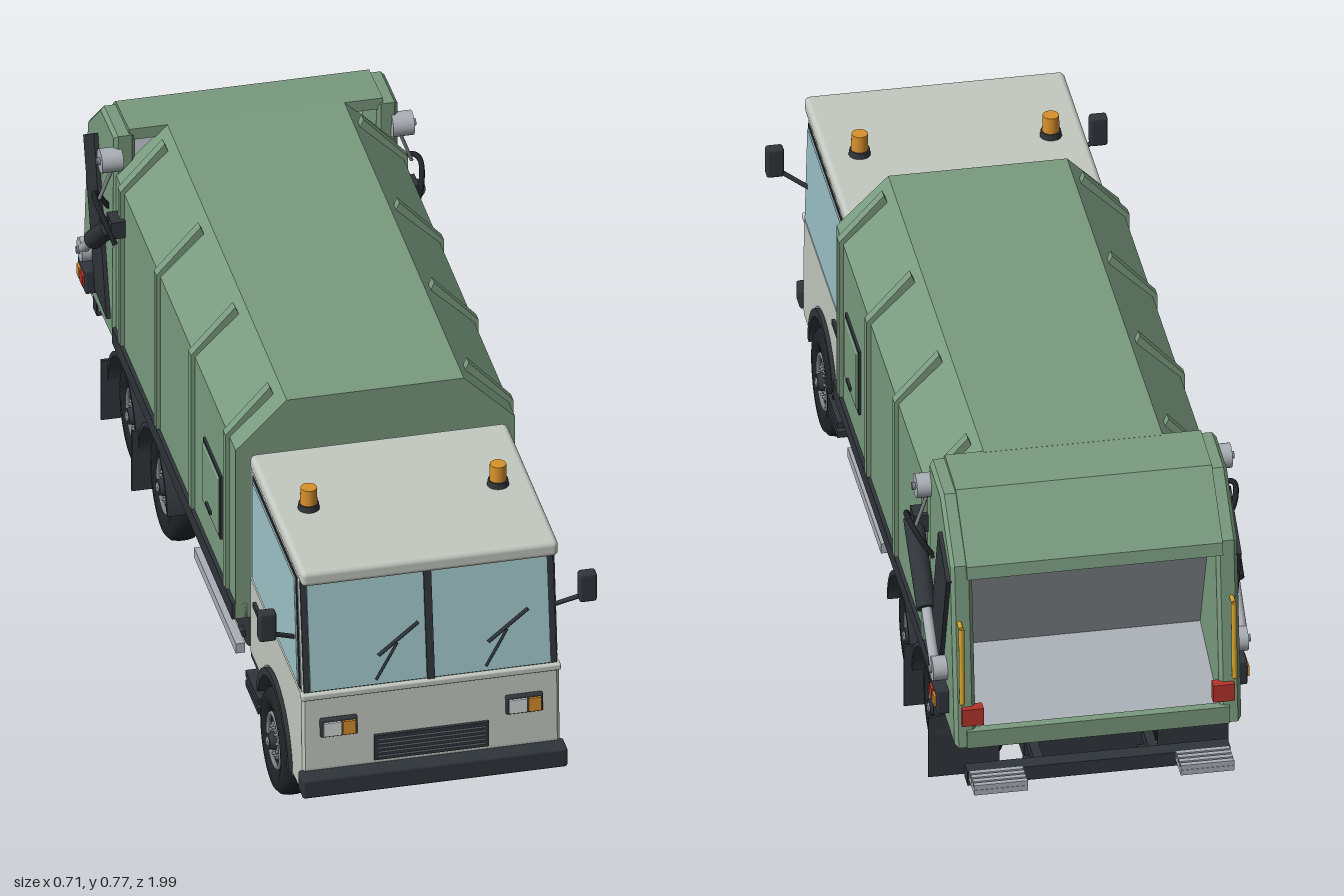
import * as THREE from 'three';
import { RoundedBoxGeometry } from 'three/addons/geometries/RoundedBoxGeometry.js';

const mat = (color, side = THREE.FrontSide) => new THREE.MeshStandardMaterial({ color, side });
const M = {
  green: mat(0x7a9b7f), cab: mat(0xc3c8c0), dark: mat(0x30353a), black: mat(0x202325),
  glass: mat(0x9dc3c8), steel: mat(0xaab0b6), rim: mat(0x7d8388), amber: mat(0xd8912c),
  red: mat(0xb5342a), yellow: mat(0xd6a42c), lamp: mat(0xd4dad8),
};
const V = (x, y, z) => new THREE.Vector3(x, y, z);

function add(parent, name, geo, material, pos = [0, 0, 0], rot = [0, 0, 0]) {
  const m = new THREE.Mesh(geo, material);
  m.name = name;
  m.position.set(...pos);
  m.rotation.set(...rot);
  parent.add(m);
  return m;
}
// box given by its limits in x, y, z
function box(parent, name, material, x, y, z, radius = 0) {
  const s = [x, y, z].map(([a, b]) => Math.abs(b - a));
  const geo = radius ? new RoundedBoxGeometry(...s, 2, radius) : new THREE.BoxGeometry(...s);
  return add(parent, name, geo, material, [x, y, z].map(([a, b]) => (a + b) / 2));
}
// box limits mirrored in x
const side = (s, a, b) => [s * a, s * b];
// round bar between two points
function bar(parent, name, material, a, b, r, seg = 12) {
  const d = b.clone().sub(a);
  const m = add(parent, name, new THREE.CylinderGeometry(r, r, d.length(), seg), material);
  m.position.copy(a).add(b).multiplyScalar(0.5);
  m.quaternion.setFromUnitVectors(V(0, 1, 0), d.normalize());
  return m;
}
const poly = pts => new THREE.Shape(pts.map(p => new THREE.Vector2(...p)));
// (z, y) outline extruded between two x limits
function extrudeX(shape, xa, xb, bevel = 0) {
  const x0 = Math.min(xa, xb), x1 = Math.max(xa, xb);
  const geo = new THREE.ExtrudeGeometry(shape, {
    depth: x1 - x0 - 2 * bevel, bevelEnabled: bevel > 0, bevelSize: bevel,
    bevelThickness: bevel, bevelOffset: -bevel, bevelSegments: 1, curveSegments: 24,
  });
  return geo.rotateY(-Math.PI / 2).translate(x1 - bevel, 0, 0);
}
function arch(cz, cy, r0, r1, a0, a1) {
  const s = new THREE.Shape();
  s.absarc(cz, cy, r1, a0, a1, false);
  s.absarc(cz, cy, r0, a1, a0, true);
  return s;
}

function buildWheel(s, x, z, outer) {
  const g = new THREE.Group();
  g.name = 'wheel';
  g.position.set(s * x, 0.115, z);
  g.rotation.z = -s * Math.PI / 2; // local +y points outwards
  const prof = [[0.062, -0.024], [0.085, -0.032], [0.102, -0.031], [0.112, -0.022], [0.115, -0.008],
    [0.115, 0.008], [0.112, 0.022], [0.102, 0.031], [0.085, 0.032], [0.062, 0.024], [0.058, 0]];
  add(g, 'tyre', new THREE.LatheGeometry(prof.map(p => new THREE.Vector2(...p)), 40), M.black);
  add(g, 'rimDisc', new THREE.CylinderGeometry(0.062, 0.062, 0.03, 32), M.dark);
  if (!outer) return g;
  add(g, 'rimRing', new THREE.TorusGeometry(0.057, 0.005, 8, 32), M.rim, [0, 0.024, 0], [Math.PI / 2, 0, 0]);
  add(g, 'rimPlate', new THREE.CylinderGeometry(0.04, 0.048, 0.012, 24), M.rim, [0, 0.018, 0]);
  add(g, 'hub', new THREE.CylinderGeometry(0.017, 0.021, 0.02, 20), M.dark, [0, 0.028, 0]);
  add(g, 'hubCap', new THREE.CylinderGeometry(0.01, 0.01, 0.006, 16), M.steel, [0, 0.038, 0]);
  for (let i = 0; i < 10; i++) {
    const a = i * Math.PI / 5;
    add(g, 'wheelNut', new THREE.CylinderGeometry(0.003, 0.003, 0.008, 6), M.steel,
      [0.031 * Math.cos(a), 0.026, 0.031 * Math.sin(a)]);
  }
  return g;
}

function buildCab() {
  const g = new THREE.Group();
  g.name = 'cab';
  // lower shell with wheel arches, upper house, roof
  const low = poly([[0.475, 0.185], [0.475, 0.375], [0.948, 0.375], [0.955, 0.195], [0.95, 0.13], [0.859, 0.13]].reverse());
  const shell = new THREE.Shape();
  shell.moveTo(0.859, 0.13).lineTo(0.95, 0.13).lineTo(0.955, 0.195).lineTo(0.948, 0.375)
    .lineTo(0.475, 0.375).lineTo(0.475, 0.185).lineTo(0.577, 0.185);
  shell.absarc(0.71, 0.115, 0.15, Math.PI - 0.485, 0.1, true);
  add(g, 'lowerShell', extrudeX(shell, -0.272, 0.272, 0.006), M.cab);
  add(g, 'upperHouse', extrudeX(poly([[0.475, 0.37], [0.943, 0.37], [0.903, 0.64], [0.475, 0.64]]), -0.27, 0.27, 0.004), M.cab);
  box(g, 'roof', M.cab, [-0.272, 0.272], [0.629, 0.666], [0.47, 0.945], 0.012);
  box(g, 'waistTrim', M.cab, [-0.274, 0.274], [0.36, 0.375], [0.935, 0.957], 0.004);
  box(g, 'cabFloor', M.black, [-0.2, 0.2], [0.135, 0.29], [0.48, 0.945]);
  // windscreen with frame, centre pillar and wipers
  const w = new THREE.Group();
  w.name = 'windscreen';
  w.position.set(0, 0.5, 0.924);
  w.rotation.x = -0.147;
  g.add(w);
  box(w, 'windscreenSeal', M.dark, [-0.267, 0.267], [-0.129, 0.129], [-0.01, 0.004]);
  box(w, 'centrePillar', M.dark, [-0.008, 0.008], [-0.126, 0.126], [0, 0.012]);
  for (const s of [-1, 1]) {
    box(w, 'windscreenPane', M.glass, side(s, 0.008, 0.254), [-0.125, 0.125], [0, 0.007]);
    const c = s < 0 ? -0.07 : 0.162;
    bar(w, 'wiperArm', M.dark, V(c - 0.046, -0.112, 0.013), V(c, -0.034, 0.016), 0.003, 8);
    bar(w, 'wiperBlade', M.dark, V(c - 0.04, -0.058, 0.014), V(c + 0.046, 0.006, 0.014), 0.004, 8);
    // headlamps
    const h = s < 0 ? -0.196 : 0.196;
    box(g, 'headlampFrame', M.dark, [h - 0.039, h + 0.039], [0.27, 0.312], [0.94, 0.962], 0.003);
    box(g, 'headlamp', M.lamp, [h - 0.034, h + 0.004], [0.275, 0.307], [0.95, 0.967]);
    box(g, 'indicator', M.amber, [h + 0.007, h + 0.034], [0.275, 0.307], [0.95, 0.967]);
    // side window, door seam and handle
    const win = poly([[0.497, 0.376], [0.93, 0.376], [0.896, 0.628], [0.497, 0.628]]);
    const pane = poly([[0.506, 0.384], [0.918, 0.384], [0.888, 0.62], [0.506, 0.62]]);
    add(g, 'sideWindowSeal', extrudeX(win, s * 0.26, s * 0.272), M.dark);
    add(g, 'sideWindow', extrudeX(pane, s * 0.262, s * 0.275), M.glass);
    box(g, 'doorHandle', M.dark, side(s, 0.27, 0.279), [0.329, 0.341], [0.53, 0.59]);
    add(g, 'archTrim', extrudeX(arch(0.71, 0.115, 0.136, 0.152, 0.1, Math.PI - 0.3), s * 0.2, s * 0.28), M.dark);
    // mirror on its arm
    bar(g, 'mirrorArm', M.dark, V(s * 0.268, 0.475, 0.885), V(s * 0.335, 0.512, 0.915), 0.005, 8);
    box(g, 'mirror', M.dark, side(s, 0.32, 0.357), [0.498, 0.566], [0.902, 0.928], 0.006);
    // beacon
    add(g, 'beaconBase', new THREE.CylinderGeometry(0.021, 0.023, 0.014, 24), M.dark, [s * 0.2, 0.672, 0.7]);
    add(g, 'beacon', new THREE.CylinderGeometry(0.017, 0.018, 0.037, 24), M.amber, [s * 0.2, 0.697, 0.7]);
    // entry steps
    for (const y of [0.122, 0.145])
      box(g, 'entryStep', M.dark, side(s, 0.2, 0.285), [y - 0.007, y + 0.007], [0.49, 0.605]);
  }
  // grille and bumper
  box(g, 'grille', M.dark, [-0.121, 0.121], [0.199, 0.258], [0.945, 0.96]);
  for (let i = 0; i < 5; i++)
    box(g, 'grilleSlat', M.rim, [-0.114, 0.114], [0.207 + i * 0.01, 0.209 + i * 0.01], [0.955, 0.964]);
  box(g, 'bumper', M.dark, [-0.28, 0.28], [0.145, 0.19], [0.945, 0.992], 0.006);
  return g;
}

function buildBody() {
  const g = new THREE.Group();
  g.name = 'refuseBody';
  const half = [[0.295, 0.25], [0.295, 0.66], [0.187, 0.768]];
  const mirrored = half.map(([x, y]) => [-x, y]).reverse();
  const hull = new THREE.ExtrudeGeometry(poly([...half, ...mirrored]), { depth: 1.09, bevelEnabled: false });
  add(g, 'container', hull.translate(0, 0, -0.645), M.green);
  for (const s of [-1, 1]) {
    for (const z of [0.38, 0.065, -0.25, -0.577]) {
      const rib = poly([[0.29, 0.29], [0.304, 0.29], [0.304, 0.665], [0.21, 0.769], [0.2, 0.745], [0.29, 0.655]].map(([x, y]) => [s * x, y]));
      const geo = new THREE.ExtrudeGeometry(rib, { depth: 0.022, bevelEnabled: false });
      add(g, 'rib', geo, M.green, [0, 0, z - 0.011]);
    }
    box(g, 'lowerRail', M.dark, side(s, 0.27, 0.303), [0.25, 0.287], [-0.645, 0.445]);
    box(g, 'hatchSeal', M.dark, side(s, 0.28, 0.3), [0.37, 0.523], [0.168, 0.325]);
    box(g, 'hatch', M.green, side(s, 0.285, 0.304), [0.378, 0.515], [0.176, 0.317], 0.003);
    box(g, 'hatchHandle', M.dark, side(s, 0.3, 0.309), [0.394, 0.402], [0.225, 0.265]);
  }
  return g;
}

function buildTailgate() {
  const g = new THREE.Group();
  g.name = 'tailgate';
  // roof panel, hopper floor, packer plate and sill
  const roof = poly([[-0.64, 0.768], [-0.765, 0.76], [-0.89, 0.648], [-0.895, 0.62], [-0.87, 0.625], [-0.755, 0.735], [-0.64, 0.742]]);
  add(g, 'roofPanel', extrudeX(roof, -0.268, 0.268), M.green);
  add(g, 'hopperFloor', extrudeX(poly([[-0.65, 0.25], [-0.925, 0.25], [-0.925, 0.27], [-0.7, 0.345], [-0.65, 0.36]]), -0.27, 0.27), M.steel);
  add(g, 'packerPlate', extrudeX(poly([[-0.66, 0.34], [-0.7, 0.34], [-0.82, 0.66], [-0.78, 0.68]]), -0.27, 0.27), M.steel);
  box(g, 'sill', M.green, [-0.275, 0.275], [0.237, 0.277], [-0.935, -0.915]);
  box(g, 'bottomPlate', M.dark, [-0.275, 0.275], [0.238, 0.252], [-0.92, -0.65]);
  const cheek = poly([[-0.65, 0.25], [-0.635, 0.757], [-0.765, 0.752], [-0.883, 0.648], [-0.932, 0.238]]);
  const strip = poly([[-0.785, 0.675], [-0.882, 0.612], [-0.778, 0.3], [-0.67, 0.293]]);
  for (const s of [-1, 1]) {
    add(g, 'cheek', extrudeX(cheek, s * 0.255, s * 0.3, 0.008), M.green);
    add(g, 'sideGuard', extrudeX(strip, s * 0.29, s * 0.309), M.dark);
    // lift cylinder with pivots
    const a = V(s * 0.322, 0.58, -0.575), b = V(s * 0.322, 0.455, -0.727), c = V(s * 0.322, 0.372, -0.825);
    bar(g, 'liftBarrel', M.dark, a, b, 0.021, 20);
    bar(g, 'liftRod', M.steel, b, c, 0.011, 16);
    for (const [y, z] of [[0.7, -0.64], [0.37, -0.825]]) {
      bar(g, 'pivot', M.steel, V(s * 0.285, y, z), V(s * 0.33, y, z), 0.026, 24);
      bar(g, 'pivotPin', M.rim, V(s * 0.33, y, z), V(s * 0.337, y, z), 0.008, 12);
    }
    box(g, 'liftBracket', M.dark, side(s, 0.28, 0.325), [0.56, 0.6], [-0.6, -0.555]);
    const hose = new THREE.CatmullRomCurve3([V(s * 0.318, 0.55, -0.55), V(s * 0.335, 0.595, -0.575),
      V(s * 0.343, 0.617, -0.625), V(s * 0.33, 0.6, -0.675), V(s * 0.3, 0.555, -0.69)]);
    add(g, 'hose', new THREE.TubeGeometry(hose, 24, 0.006, 8), M.black);
    bar(g, 'pivotPipe', M.rim, V(s * 0.305, 0.675, -0.64), V(s * 0.33, 0.605, -0.645), 0.004, 8);
    // side and rear lamps
    box(g, 'lampBox', M.dark, side(s, 0.29, 0.325), [0.28, 0.336], [-0.862, -0.79], 0.004);
    box(g, 'sideRedLamp', M.red, side(s, 0.32, 0.33), [0.295, 0.32], [-0.825, -0.8]);
    box(g, 'sideAmberLamp', M.amber, side(s, 0.32, 0.33), [0.295, 0.32], [-0.853, -0.833]);
    box(g, 'rearLamp', M.red, side(s, 0.24, 0.285), [0.29, 0.33], [-0.934, -0.91]);
    // grab rail
    bar(g, 'grabRail', M.yellow, V(s * 0.285, 0.345, -0.932), V(s * 0.285, 0.52, -0.922), 0.006, 10);
    for (const [y, z] of [[0.345, -0.932], [0.52, -0.922]])
      bar(g, 'grabRailMount', M.yellow, V(s * 0.285, y, z), V(s * 0.285, y, -0.88), 0.005, 8);
  }
  return g;
}

function buildChassis() {
  const g = new THREE.Group();
  g.name = 'chassis';
  for (const z of [0.42, 0.18, -0.05, -0.43, -0.72, -0.81])
    box(g, 'crossMember', M.dark, [-0.12, 0.12], [0.13, 0.168], [z - 0.015, z + 0.015]);
  for (const z of [0.71, -0.29, -0.57]) {
    bar(g, 'axle', M.dark, V(-0.24, 0.115, z), V(0.24, 0.115, z), 0.02, 16);
    if (z < 0) add(g, 'differential', new THREE.SphereGeometry(0.04, 24, 16), M.dark, [0, 0.122, z]);
  }
  bar(g, 'driveShaft', M.rim, V(0, 0.13, 0.4), V(0, 0.12, -0.57), 0.01, 12);
  box(g, 'gearbox', M.black, [-0.06, 0.06], [0.11, 0.19], [0.3, 0.5], 0.015);
  box(g, 'rearBar', M.dark, [-0.275, 0.275], [0.15, 0.182], [-0.94, -0.905]);
  for (const s of [-1, 1]) {
    box(g, 'rail', M.dark, side(s, 0.105, 0.135), [0.125, 0.172], [-0.82, 0.92]);
    box(g, 'rearBracket', M.dark, side(s, 0.11, 0.13), [0.155, 0.178], [-0.92, -0.8]);
    box(g, 'towBlock', M.dark, side(s, 0.1, 0.14), [0.108, 0.14], [-0.865, -0.83]);
    for (const z of [0.36, 0.065, -0.16, -0.43, -0.63])
      box(g, 'bodyMount', M.dark, side(s, 0.1, 0.2), [0.165, 0.255], [z - 0.02, z + 0.02]);
    // tank and side guard
    box(g, 'tank', M.dark, side(s, 0.15, 0.25), [0.112, 0.205], [0.08, 0.35], 0.012);
    box(g, 'guardBar', M.steel, side(s, 0.262, 0.282), [0.13, 0.153], [0.01, 0.39]);
    for (const z of [0.06, 0.33]) box(g, 'guardBracket', M.dark, side(s, 0.12, 0.265), [0.135, 0.15], [z - 0.01, z + 0.01]);
    box(g, 'guardExtension', M.dark, side(s, 0.22, 0.25), [0.12, 0.145], [0.39, 0.5]);
    // wheels, leaf springs, rear mudguards and flaps
    g.add(buildWheel(s, 0.25, 0.71, true));
    box(g, 'spring', M.dark, side(s, 0.14, 0.17), [0.115, 0.135], [0.58, 0.84]);
    for (const z of [-0.29, -0.57]) {
      g.add(buildWheel(s, 0.25, z, true), buildWheel(s, 0.181, z, false));
      add(g, 'mudguard', extrudeX(arch(z, 0.115, 0.127, 0.137, 0.1, Math.PI - 0.1), s * 0.15, s * 0.3), M.dark);
      box(g, 'mudFlap', M.dark, side(s, 0.165, 0.314), [0.03, 0.175], [z - 0.134, z - 0.128]);
    }
    // slatted rear footboard
    box(g, 'footboardFrame', M.steel, side(s, 0.16, 0.272), [0.163, 0.175], [-1, -0.9]);
    for (let i = 0; i < 4; i++)
      box(g, 'footboardSlat', M.steel, side(s, 0.16, 0.272), [0.174, 0.186], [-0.999 + i * 0.016, -0.988 + i * 0.016]);
  }
  return g;
}

export function createModel() {
  const truck = new THREE.Group();
  truck.name = 'refuseTruck';
  truck.add(buildCab(), buildBody(), buildTailgate(), buildChassis());
  return truck;
}
